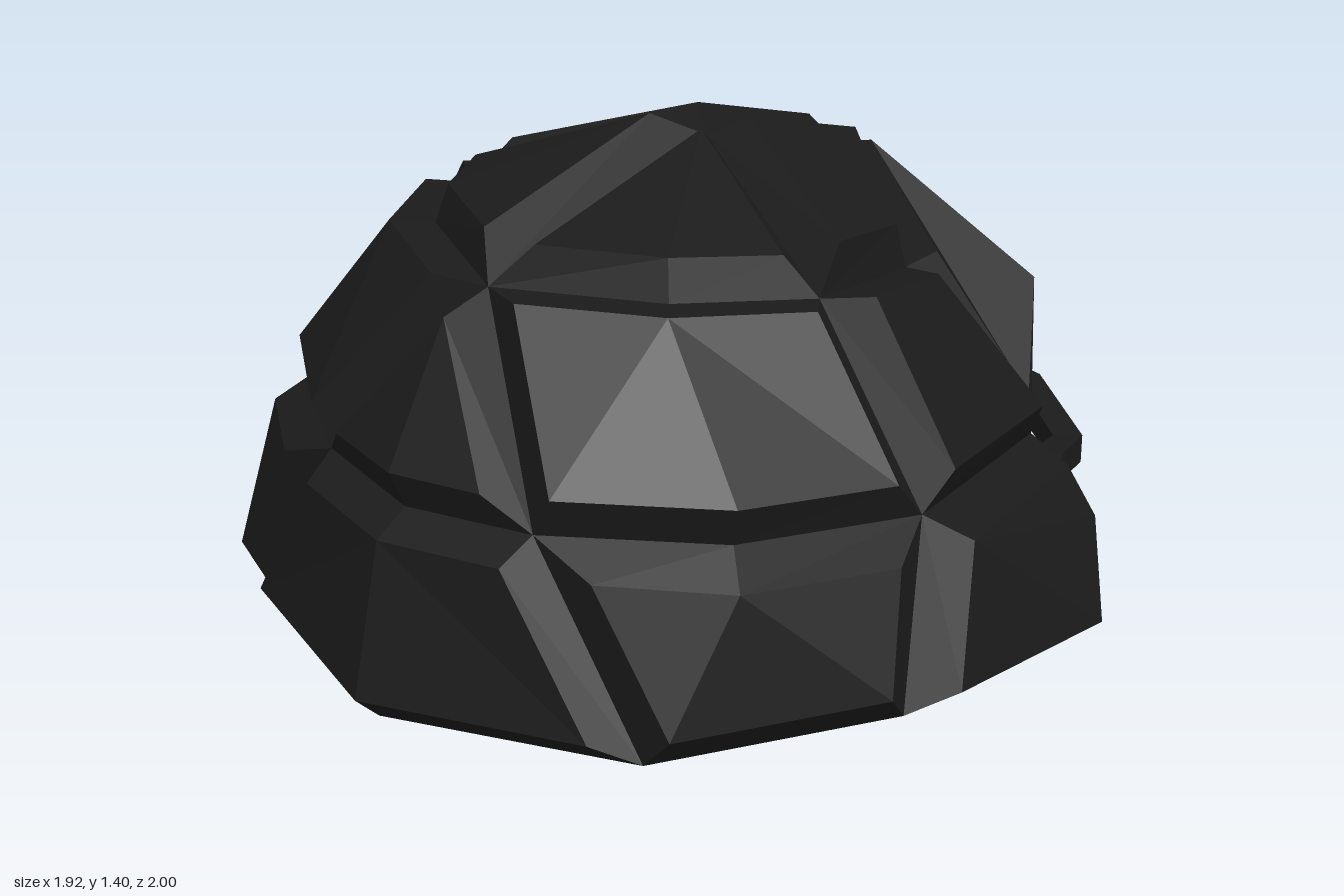
import * as THREE from 'three';

const V = (x, y, z) => new THREE.Vector3(x, y, z);
const CENTRE = V(0, 0.45, 0);
const outward = p => p.clone().sub(CENTRE).normalize();

// Groove junctions on one half of the shell
const P = {
  crownBack: [0, 1.2, 0.58], crownBackMid: [0.34, 1.2, 0.4], crownSide: [0.51, 1.17, 0.12],
  crownTop: [0, 1.345, -0.11], crownFront: [0, 1.16, -0.62], temple: [0.44, 1.1, -0.27],
  bandMid: [0, 0.79, 0.84], bandBack: [0.3, 0.8, 0.77], bandSideMid: [0.62, 0.79, 0.52],
  bandSide: [0.78, 0.75, 0.1], bandFront: [0.68, 0.71, -0.44], earFront: [0.77, 0.54, -0.46],
  rimMid: [0, 0.33, 0.94], rimBack: [0.57, 0.35, 0.74], rimSide: [0.87, 0.37, 0.26], rimFront: [0.87, 0.3, -0.36],
  browMid: [0, 0.96, -0.83], browSide: [0.46, 0.88, -0.71],
};
const pts = (names, sx = 1) => names.split(' ').map(n => V(P[n][0] * sx, P[n][1], P[n][2]));

function flatGeometry(triangles) {
  const g = new THREE.BufferGeometry().setFromPoints(triangles);
  g.computeVertexNormals();
  return g;
}

// Padded panel: bevelled rim rising from the grooves, face fanned from the first corner
function panelGeometry(corners, lift, inset) {
  const n = corners.length;
  const loop = [...corners];
  const mid = loop.reduce((s, p) => s.add(p), V(0, 0, 0)).divideScalar(n);
  const normal = V(0, 0, 0);
  loop.forEach((p, i) => normal.add(p.clone().sub(mid).cross(loop[(i + 1) % n].clone().sub(mid))));
  normal.normalize();
  if (normal.dot(outward(mid)) < 0) {
    normal.negate();
    loop.reverse().unshift(loop.pop());
  }
  const top = loop.map((p, i) => {
    const local = normal.clone().add(outward(p)).normalize();
    const before = local.clone().cross(p.clone().sub(loop[(i + n - 1) % n])).normalize();
    const after = local.clone().cross(loop[(i + 1) % n].clone().sub(p)).normalize();
    const dir = before.clone().add(after).normalize();
    const reach = inset / Math.max(0.55, dir.dot(after));
    return p.clone().addScaledVector(dir, reach).addScaledVector(outward(p), lift);
  });
  const tris = [];
  for (let i = 0; i < n; i++) {
    const j = (i + 1) % n;
    tris.push(loop[i], loop[j], top[j], loop[i], top[j], top[i]);
    if (i > 0 && j > 0) tris.push(top[0], top[i], top[j]);
  }
  return flatGeometry(tris);
}

// Smooth underside closing the shell between rim and brow
function undersideGeometry() {
  const rim = [
    ...pts('bandFront browSide', -1),
    ...pts('browMid browSide bandFront earFront rimFront rimSide rimBack rimMid'),
    ...pts('rimBack rimSide rimFront earFront', -1),
  ];
  const g = new THREE.BufferGeometry().setFromPoints(rim);
  const index = [];
  for (let k = 1; k < rim.length - 1; k++) index.push(0, k, k + 1);
  g.setIndex(index);
  g.computeVertexNormals();
  return g;
}

// Square bar swept along a bent path
function barGeometry(path, ref, w) {
  const n = path.length;
  const rings = path.map((p, i) => {
    const t = path[Math.min(i + 1, n - 1)].clone().sub(path[Math.max(i - 1, 0)]).normalize();
    const s = t.clone().cross(ref).normalize().multiplyScalar(w / 2);
    const u = s.clone().cross(t).normalize().multiplyScalar(w / 2);
    return [[-1, -1], [1, -1], [1, 1], [-1, 1]].map(([a, b]) =>
      p.clone().addScaledVector(s, a).addScaledVector(u, b));
  });
  const tris = [];
  const quad = (a, b, c, d) => tris.push(a, b, c, a, c, d);
  for (let i = 0; i < n - 1; i++) {
    for (let k = 0; k < 4; k++) {
      const m = (k + 1) % 4;
      quad(rings[i][k], rings[i + 1][k], rings[i + 1][m], rings[i][m]);
    }
  }
  const [f, l] = [rings[0], rings[n - 1]];
  quad(f[0], f[1], f[2], f[3]);
  quad(l[3], l[2], l[1], l[0]);
  return flatGeometry(tris);
}

export function createModel() {
  const model = new THREE.Group();
  model.name = 'helmet';
  const black = new THREE.MeshStandardMaterial({ color: 0x1b1b1b });
  black.name = 'matte black';
  const add = (name, geometry) => {
    const mesh = new THREE.Mesh(geometry, black);
    mesh.name = name;
    model.add(mesh);
  };

  // Panels on the centre line: half loop, mirrored rest, lift, bevel width
  const centre = {
    backPanel: ['crownBack bandBack bandMid', 'bandBack', 0.08, 0.07],
    rearBandPanel: ['bandMid bandBack rimBack rimMid', 'rimBack bandBack', 0.068, 0.075],
    browPanel: ['crownFront temple bandFront browSide browMid', 'browSide bandFront temple', 0.06, 0.055],
  };
  for (const [name, [half, other, lift, bevel]] of Object.entries(centre)) {
    add(name, panelGeometry([...pts(half), ...pts(other, -1)], lift, bevel));
  }

  // Mirrored panels: corners, lift, bevel width
  const paired = {
    crownRearPanel: ['crownBackMid crownSide crownTop crownBack', 0.07, 0.075],
    crownFrontPanel: ['crownTop crownSide temple crownFront', 0.07, 0.075],
    upperRearPanel: ['crownBackMid crownBack bandBack bandSideMid bandSide crownSide', 0.08, 0.075],
    upperSidePanel: ['crownSide bandSide bandFront temple', 0.08, 0.075],
    lowerRearPanel: ['bandSideMid bandBack rimBack rimSide bandSide', 0.075, 0.095],
    earPanel: ['bandSide rimSide rimFront earFront bandFront', 0.09, 0.075],
  };
  for (const [name, [corners, lift, bevel]] of Object.entries(paired)) {
    for (const sx of [1, -1]) {
      add((sx > 0 ? 'left ' : 'right ') + name, panelGeometry(pts(corners, sx), lift, bevel));
    }
  }
  add('underside', undersideGeometry());

  // Face cage: two hoops and two uprights
  const hoop = half => [
    ...half.map(p => V(...p)),
    ...half.slice(0, -1).reverse().map(([x, y, z]) => V(-x, y, z)),
  ];
  const up = V(0, 1, 0);
  add('upperCageBar', barGeometry(hoop([[0.74, 0.58, -0.4], [0.65, 0.575, -0.56], [0.63, 0.57, -0.67], [0.36, 0.56, -0.895], [0, 0.555, -0.965]]), up, 0.068));
  add('lowerCageBar', barGeometry(hoop([[0.83, 0.37, -0.29], [0.63, 0.19, -0.61], [0.37, 0.08, -0.81], [0, 0.037, -0.88]]), up, 0.068));
  for (const sx of [1, -1]) {
    const path = [V(sx * 0.33, 0.56, -0.89), V(sx * 0.31, 0.33, -0.885), V(sx * 0.27, 0.08, -0.83)];
    add(sx > 0 ? 'left cageUpright' : 'right cageUpright', barGeometry(path, V(0, 0, 1), 0.052));
  }
  return model;
}
